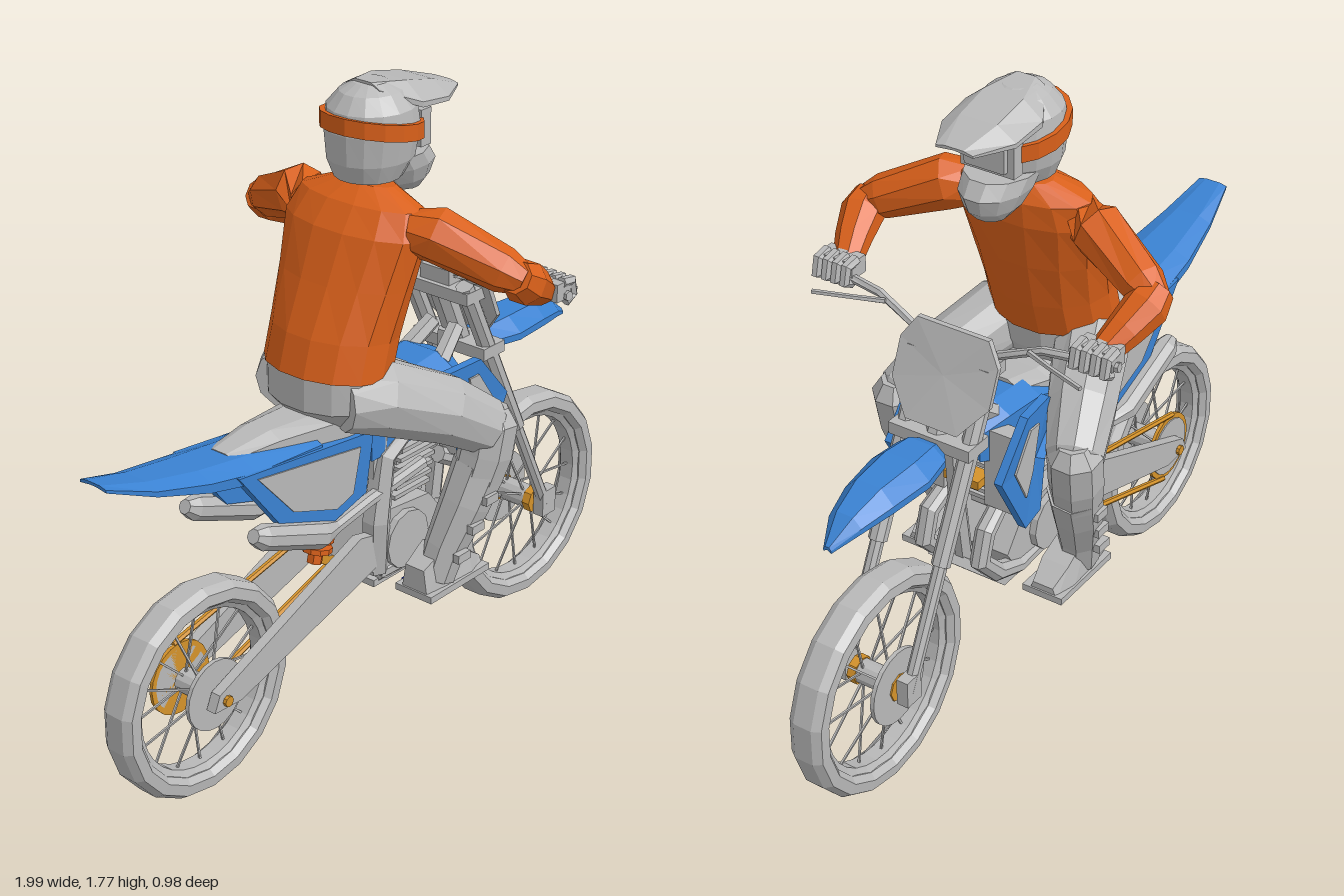
import * as THREE from 'three';

const mat = (name, color) => Object.assign(new THREE.MeshStandardMaterial({ color }), { name });
const V = (x, y, z) => new THREE.Vector3(x, y, z);

export function createModel() {
  const grey = mat('grey', 0xb8b8b8), blue = mat('blue', 0x3a82d2), orange = mat('orange', 0xd9601a);
  const gold = mat('gold', 0xd4922a), navy = mat('navy', 0x1a2c9c);
  const model = new THREE.Group();
  model.name = 'dirtBikeAndRider';

  // Faceted mesh from any geometry
  function add(name, geo, m, parent = model) {
    const g = geo.index ? geo.toNonIndexed() : geo;
    g.computeVertexNormals();
    const mesh = new THREE.Mesh(g, m);
    mesh.name = name;
    parent.add(mesh);
    return mesh;
  }
  // Closed solid through equal-sized rings, wound outward by its signed volume
  function loft(rings) {
    const n = rings[0].length, tris = [];
    for (let i = 0; i + 1 < rings.length; i++) for (let j = 0; j < n; j++) {
      const k = (j + 1) % n, a = rings[i], b = rings[i + 1];
      tris.push([a[j], a[k], b[k]], [a[j], b[k], b[j]]);
    }
    const last = rings[rings.length - 1];
    const centre = r => r.reduce((s, p) => s.add(p), V(0, 0, 0)).divideScalar(n);
    const c0 = centre(rings[0]), c1 = centre(last);
    for (let j = 0; j < n; j++) {
      const k = (j + 1) % n;
      tris.push([c0, rings[0][k], rings[0][j]], [c1, last[j], last[k]]);
    }
    const vol = tris.reduce((s, [a, b, c]) => s + a.clone().sub(c0).dot(b.clone().sub(c0).cross(c.clone().sub(c0))), 0);
    const pts = tris.flatMap(([a, b, c]) => (vol < 0 ? [a, c, b] : [a, b, c]));
    return new THREE.BufferGeometry().setFromPoints(pts);
  }
  // Stacked horizontal ovals: [y, centre x, x radius, z radius], sloping with x
  const stack = (rows, n = 14, slope = 0) => loft(rows.map(([y, cx, rx, rz]) =>
    Array.from({ length: n }, (_, i) => {
      const a = (i + 0.5) / n * Math.PI * 2, x = Math.cos(a) * rx;
      return V(cx + x, y - slope * x, Math.sin(a) * rz);
    })));
  // Round limb through [x, y, z, radius]
  function limb(pts, n = 8) {
    const p = pts.map(q => V(q[0], q[1], q[2]));
    return loft(p.map((c, i) => {
      const t = p[Math.min(i + 1, p.length - 1)].clone().sub(p[Math.max(i - 1, 0)]).normalize();
      const u = V(0, 0, 1).cross(t);
      if (u.length() < 0.1) u.set(1, 0, 0);
      u.normalize();
      const w = t.clone().cross(u);
      return Array.from({ length: n }, (_, j) => {
        const a = (j + 0.5) / n * Math.PI * 2, r = pts[i][3];
        return c.clone().addScaledVector(u, Math.cos(a) * r).addScaledVector(w, Math.sin(a) * r);
      });
    }));
  }
  const rod = (a, b, r, n = 6) => limb([[...a, r], [...b, r]], n);
  // Crowned slab along x: [x, top y, half width, thickness, crown]
  const slab = rows => loft(rows.map(([x, y, w, t, c]) => [
    V(x, y - c, -w), V(x, y, -w * 0.5), V(x, y, w * 0.5), V(x, y - c, w),
    V(x, y - c - t, w), V(x, y - t, w * 0.5), V(x, y - t, -w * 0.5), V(x, y - c - t, -w)]));
  // Flat outline in x and y, from z to z + depth
  const plate = (pts, z, depth) => new THREE.ExtrudeGeometry(
    new THREE.Shape(pts.map(p => new THREE.Vector2(...p))), { depth, bevelEnabled: false }).translate(0, 0, z);
  const sided = (pts, z, depth, s) => plate(pts, s > 0 ? z : -z - depth, depth);
  const box = (w, h, d, x, y, z) => new THREE.BoxGeometry(w, h, d).translate(x, y, z);
  const disc = (r, d, x, y, z, n = 20) => new THREE.CylinderGeometry(r, r, d, n).rotateX(Math.PI / 2).translate(x, y, z);

  // Wheels
  for (const [name, x, y, R] of [['rearWheel', -0.675, 0.31, 0.302], ['frontWheel', 0.675, 0.33, 0.322]]) {
    const wheel = new THREE.Group();
    wheel.name = name;
    wheel.position.set(x, y, 0);
    model.add(wheel);
    const tyre = [[R - 0.06, -0.035], [R - 0.045, -0.052], [R - 0.015, -0.05], [R, -0.028], [R, 0.028],
      [R - 0.015, 0.05], [R - 0.045, 0.052], [R - 0.06, 0.035], [R - 0.06, -0.035]];
    const rim = [[R - 0.078, -0.022], [R - 0.055, -0.036], [R - 0.055, 0.036], [R - 0.078, 0.022], [R - 0.078, -0.022]];
    for (const [part, prof, n] of [['tyre', tyre, 18], ['rim', rim, 32]])
      add(part, new THREE.LatheGeometry(prof.map(p => new THREE.Vector2(...p)), n).rotateX(Math.PI / 2), grey, wheel);
    for (let i = 0; i < 16; i++) {
      const a = i / 16 * Math.PI * 2, b = a + (i % 4 < 2 ? 0.2 : -0.2), r = R - 0.07;
      add('spoke', rod([Math.cos(b) * 0.03, Math.sin(b) * 0.03, i % 2 ? 0.035 : -0.035],
        [Math.cos(a) * r, Math.sin(a) * r, 0], 0.004, 4), grey, wheel);
    }
    add('hub', disc(0.035, 0.1, 0, 0, 0, 12), grey, wheel);
    add('axle', disc(0.015, 0.23, 0, 0, 0, 8), gold, wheel);
  }
  add('rearBrakeDisc', disc(0.1, 0.012, -0.675, 0.31, 0.06), grey);
  add('frontBrakeDisc', disc(0.11, 0.012, 0.675, 0.33, -0.062), grey);
  for (const s of [-1, 1]) add('frontHubCap', disc(0.04, 0.025, 0.675, 0.33, s * 0.06, 8), gold);

  // Chain drive
  add('rearSprocket', disc(0.105, 0.01, -0.675, 0.31, -0.066), gold);
  add('sprocketCover', disc(0.09, 0.014, -0.675, 0.31, -0.068), grey);
  add('upperChain', rod([-0.69, 0.415, -0.07], [-0.1, 0.545, -0.07], 0.009), gold);
  add('lowerChain', rod([-0.65, 0.207, -0.07], [-0.07, 0.395, -0.07], 0.009), gold);
  add('frontSprocket', disc(0.075, 0.012, -0.08, 0.47, -0.07), gold);

  // Fenders, seat and tank
  add('rearFender', slab([[-1, 1.035, 0.045, 0.008, 0.005], [-0.86, 0.995, 0.075, 0.015, 0.015],
    [-0.7, 0.965, 0.1, 0.025, 0.02], [-0.55, 0.945, 0.11, 0.03, 0.025], [-0.3, 0.92, 0.105, 0.04, 0.02]]), blue);
  add('frontFender', slab([[0.42, 0.93, 0.045, 0.02, 0.02], [0.46, 0.95, 0.075, 0.02, 0.03], [0.55, 0.955, 0.09, 0.02, 0.04],
    [0.68, 0.95, 0.075, 0.02, 0.04], [0.78, 0.918, 0.05, 0.015, 0.025], [0.855, 0.865, 0.012, 0.008, 0.008]]), blue);
  add('seat', slab([[-0.57, 0.95, 0.045, 0.03, 0.01], [-0.42, 0.965, 0.07, 0.06, 0.02], [-0.2, 0.95, 0.1, 0.08, 0.02],
    [0, 0.94, 0.09, 0.08, 0.02], [0.12, 0.965, 0.07, 0.06, 0.02]]), grey);
  add('tank', slab([[-0.1, 0.87, 0.1, 0.08, 0.02], [0.08, 0.95, 0.11, 0.14, 0.03],
    [0.22, 0.965, 0.11, 0.13, 0.03], [0.3, 0.93, 0.07, 0.08, 0.03]]), blue);
  add('airbox', plate([[-0.48, 0.88], [-0.42, 0.77], [-0.15, 0.7], [-0.08, 0.87]], -0.07, 0.14), grey);

  // Engine and frame centre
  add('crankcase', plate([[-0.12, 0.45], [-0.04, 0.39], [0.16, 0.39], [0.22, 0.48], [0.14, 0.58], [-0.06, 0.6]], -0.1, 0.2), grey);
  add('clutchCover', disc(0.085, 0.24, 0.03, 0.49, 0, 12), grey);
  for (let i = 0; i < 6; i++) add('coolingFin', box(0.15, 0.012, 0.15, 0.1 + i * 0.006, 0.6 + i * 0.026, 0), grey);
  add('cylinder', box(0.11, 0.2, 0.11, 0.11, 0.67, 0), grey);
  add('skidPlate', plate([[-0.08, 0.375], [0.22, 0.375], [0.32, 0.47], [0.3, 0.49], [0.2, 0.4], [-0.08, 0.395]], -0.09, 0.18), grey);
  add('engineMount', box(0.06, 0.025, 0.11, 0.26, 0.73, 0), gold);
  add('downTube', limb([[0.33, 0.98, 0, 0.025], [0.31, 0.7, 0, 0.025], [0.28, 0.48, 0, 0.025]], 6), grey);
  add('headTube', rod([0.3, 1.12, 0], [0.39, 0.92, 0], 0.035, 8), grey);
  add('rearShock', rod([-0.16, 0.72, 0], [-0.22, 0.48, 0], 0.022), orange);
  for (let i = 0; i < 7; i++)
    add('shockCoil', rod([-0.165 - i * 0.007, 0.695 - i * 0.028, 0], [-0.168 - i * 0.007, 0.68 - i * 0.028, 0], 0.042, 10), orange);

  for (const s of [-1, 1]) {
    // Side panels and shrouds
    add('sidePanel', sided([[-0.62, 0.93], [-0.46, 0.725], [-0.27, 0.665], [-0.14, 0.7], [-0.11, 0.87]], 0.085, 0.03, s), blue);
    add('sidePanelInset', sided([[-0.555, 0.905], [-0.425, 0.76], [-0.26, 0.7], [-0.195, 0.72], [-0.165, 0.845]], 0.115, 0.004, s), grey);
    add('shroud', loft([0.16, 0.19].map((z, i) => [[0.02, 0.87], [0.12, 0.96], [0.25, 0.97], [0.37, 0.83], [0.26, 0.63], [0.19, 0.65], [0.17, 0.8]]
      .map(([x, y]) => V(x, y, s * (z - Math.max(0, 0.17 - x) * 0.4 - i * 0.005))))), blue);
    add('shroudInset', sided([[0.2, 0.93], [0.24, 0.93], [0.31, 0.83], [0.26, 0.73], [0.23, 0.8]], 0.183, 0.006, s), grey);
    add('radiator', box(0.05, 0.24, 0.1, 0.25, 0.79, s * 0.115), grey);

    // Frame, swingarm and exhaust
    add('frameSpar', limb([[0.32, 1.0, s * 0.04, 0.025], [0.1, 0.84, s * 0.09, 0.03], [-0.04, 0.76, s * 0.09, 0.035],
      [-0.07, 0.58, s * 0.09, 0.04], [-0.06, 0.42, s * 0.08, 0.035]], 6), grey);
    add('seatPost', rod([-0.05, 0.7, s * 0.07], [-0.04, 0.9, s * 0.07], 0.035), grey);
    add('cradleTube', limb([[0.2, 0.67, s * 0.08, 0.025], [0.31, 0.61, s * 0.09, 0.028], [0.335, 0.53, s * 0.09, 0.028],
      [0.26, 0.45, s * 0.09, 0.028], [0.16, 0.41, s * 0.09, 0.025], [-0.06, 0.41, s * 0.08, 0.025]]), grey);
    add('swingarm', sided([[-0.72, 0.29], [-0.62, 0.285], [-0.07, 0.45], [-0.06, 0.54], [-0.15, 0.56], [-0.7, 0.335]], 0.075, 0.03, s), grey);
    add('silencer', limb([[-0.58, 0.755, s * 0.12, 0.02], [-0.55, 0.74, s * 0.12, 0.035], [-0.33, 0.655, s * 0.12, 0.038],
      [-0.26, 0.645, s * 0.11, 0.02], [-0.12, 0.66, s * 0.1, 0.02], [0.12, 0.68, s * 0.09, 0.02]]), grey);
    add('footPeg', box(0.06, 0.02, 0.09, 0.025, 0.375, s * 0.17), navy);

    // Fork and handlebar
    const f = (t, z) => [0.28 + 0.395 * t, 1.15 - 0.82 * t, z];
    add('forkTube', rod(f(0, s * 0.1), f(0.62, s * 0.1), 0.026, 8), grey);
    add('forkLeg', rod(f(0.6, s * 0.1), f(1, s * 0.1), 0.019, 8), grey);
    add('forkFoot', box(0.06, 0.08, 0.035, 0.675, 0.34, s * 0.1), grey);
    add('handlebar', limb([[0.3, 1.16, 0, 0.012], [0.3, 1.165, s * 0.12, 0.012], [0.28, 1.215, s * 0.25, 0.012],
      [0.26, 1.23, s * 0.46, 0.014]], 6), grey);
    add('lever', limb([[0.3, 1.21, s * 0.22, 0.008], [0.33, 1.21, s * 0.3, 0.007], [0.36, 1.205, s * 0.41, 0.007]], 5), grey);

    // Arms and gloves
    add('upperArm', limb([[-0.03, 1.42, s * 0.17, 0.06], [0, 1.42, s * 0.23, 0.075], [0.06, 1.35, s * 0.4, 0.06], [0.08, 1.33, s * 0.45, 0.04]]), orange);
    add('forearm', limb([[0.055, 1.345, s * 0.44, 0.045], [0.1, 1.315, s * 0.435, 0.06], [0.17, 1.275, s * 0.415, 0.05], [0.225, 1.24, s * 0.395, 0.04]]), orange);
    add('gloveCuff', rod([0.2, 1.25, s * 0.4], [0.25, 1.24, s * 0.395], 0.036, 8), grey);
    add('palm', box(0.06, 0.05, 0.11, 0.25, 1.245, s * 0.395), grey);
    for (let i = 0; i < 4; i++)
      add('finger', limb([[0.25, 1.265, s * (0.35 + i * 0.03), 0.016], [0.29, 1.26, s * (0.35 + i * 0.03), 0.016],
        [0.3, 1.22, s * (0.35 + i * 0.03), 0.015], [0.27, 1.205, s * (0.35 + i * 0.03), 0.013]], 6), grey);

    // Legs and boots
    add('thigh', limb([[-0.22, 0.99, s * 0.1, 0.08], [-0.12, 0.985, s * 0.14, 0.105], [0.05, 0.91, s * 0.22, 0.095],
      [0.16, 0.835, s * 0.27, 0.08], [0.2, 0.8, s * 0.275, 0.05]], 10), grey);
    add('knee', limb([[0.18, 0.89, s * 0.28, 0.045], [0.175, 0.85, s * 0.28, 0.075], [0.16, 0.76, s * 0.275, 0.075], [0.14, 0.69, s * 0.265, 0.07]]), grey);
    add('bootShaft', limb([[0.15, 0.72, s * 0.265, 0.075], [0.11, 0.62, s * 0.25, 0.07], [0.06, 0.5, s * 0.225, 0.058], [0.035, 0.41, s * 0.21, 0.055]]), grey);
    add('bootFoot', loft([[-0.04, 0.46, 0.045], [0.04, 0.5, 0.055], [0.14, 0.45, 0.06], [0.2, 0.41, 0.045]].map(([x, top, w]) =>
      [V(x, 0.375, s * 0.2 - w), V(x, 0.375, s * 0.2 + w), V(x, top, s * 0.2 + w * 0.7), V(x, top, s * 0.2 - w * 0.7)])), grey);
    add('bootSole', box(0.25, 0.02, 0.125, 0.08, 0.382, s * 0.2), grey);
    for (let i = 0; i < 3; i++)
      add('bootBuckle', box(0.05, 0.025, 0.02, 0.12 - i * 0.035, 0.65 - i * 0.08, s * (0.325 - i * 0.018)), grey);
  }

  // Steering head and number plate
  add('upperClamp', box(0.08, 0.035, 0.25, 0.3, 1.12, 0), grey);
  add('lowerClamp', box(0.09, 0.035, 0.25, 0.385, 0.93, 0), grey);
  add('barClamp', box(0.05, 0.06, 0.1, 0.3, 1.15, 0), grey);
  add('numberPlate', loft([0, 0.015].map(d => [[1.21, -0.11], [1.15, -0.15], [1.05, -0.15], [0.97, -0.08], [0.97, 0.08], [1.05, 0.15], [1.15, 0.15], [1.21, 0.11]]
    .map(([y, z]) => V(0.315 + (1.21 - y) * 0.42 - Math.abs(z) * 0.15 + d, y, z)))), grey);

  // Torso and hips
  add('jersey', stack([[1.05, -0.16, 0.145, 0.185], [1.15, -0.13, 0.145, 0.185], [1.28, -0.085, 0.13, 0.2],
    [1.41, -0.045, 0.115, 0.22], [1.475, -0.02, 0.09, 0.195], [1.515, -0.005, 0.05, 0.09]], 14, 0.1), orange);
  add('hips', stack([[0.91, -0.15, 0.1, 0.13], [0.97, -0.165, 0.135, 0.175], [1.08, -0.16, 0.14, 0.178]]), grey);
  add('neck', rod([0, 1.48, 0], [0.02, 1.58, 0], 0.06, 8), grey);

  // Helmet and goggles
  add('helmetShell', stack([[1.53, 0, 0.09, 0.09], [1.58, 0.01, 0.12, 0.112], [1.66, 0.015, 0.13, 0.123], [1.715, 0.015, 0.122, 0.115],
    [1.755, 0.015, 0.09, 0.08], [1.775, 0.01, 0.045, 0.045]], 16), grey);
  add('chinGuard', stack([[1.46, 0.14, 0.045, 0.045], [1.49, 0.125, 0.09, 0.07], [1.535, 0.11, 0.12, 0.09], [1.575, 0.08, 0.12, 0.095]], 12), grey);
  add('goggleStrap', stack([[1.64, 0.015, 0.138, 0.133], [1.685, 0.015, 0.138, 0.133]], 16, 0.2), orange);
  add('goggleFrame', box(0.04, 0.1, 0.16, 0.135, 1.635, 0), grey);
  add('goggleLens', box(0.03, 0.075, 0.12, 0.155, 1.637, 0), grey);
  add('visor', slab([[-0.02, 1.782, 0.055, 0.01, 0.015], [0.08, 1.77, 0.115, 0.015, 0.045],
    [0.19, 1.745, 0.11, 0.012, 0.035], [0.295, 1.712, 0.055, 0.006, 0.006]]), grey);
  return model;
}
